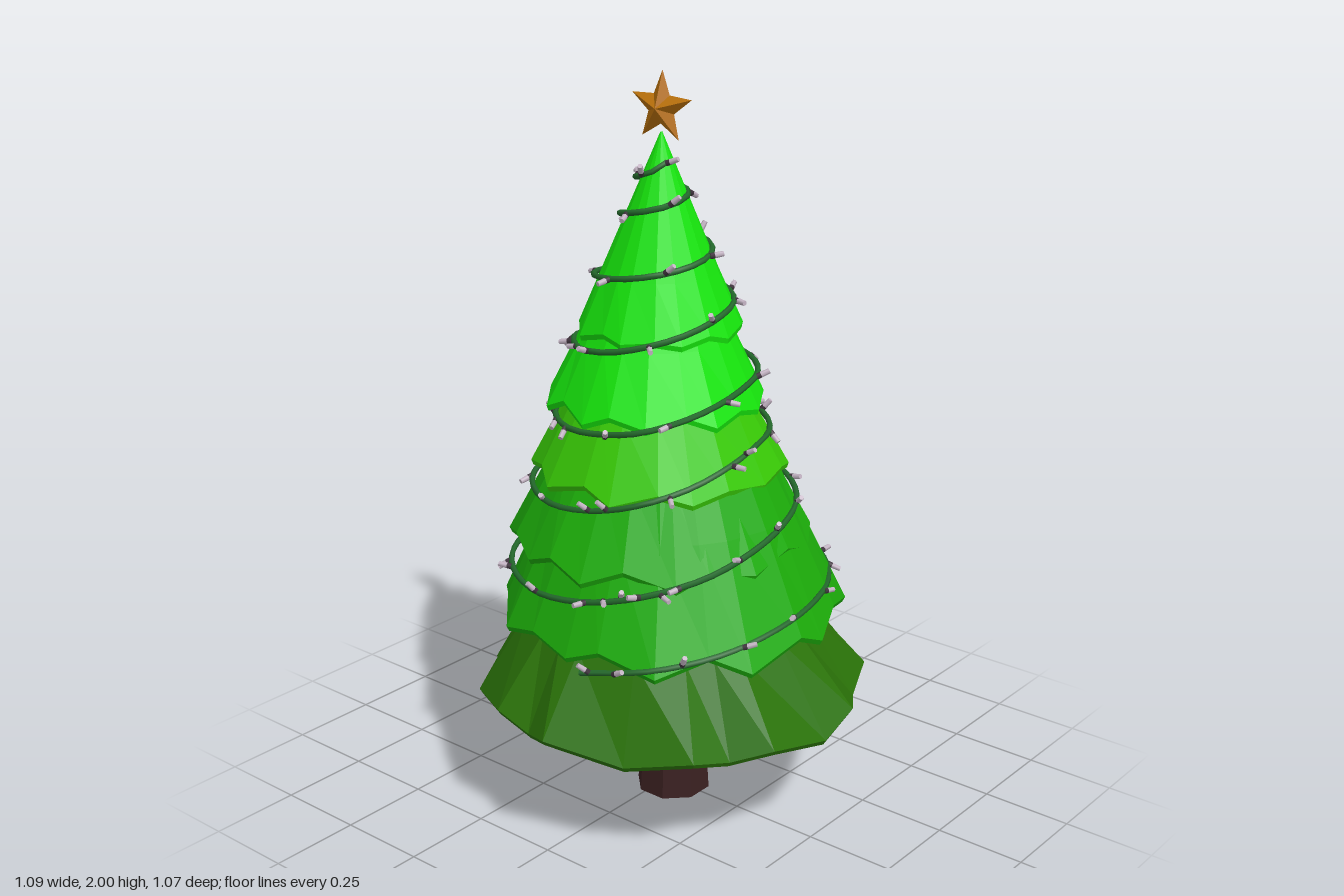
import * as THREE from 'three';
import { mergeGeometries } from 'three/addons/utils/BufferGeometryUtils.js';

function material(name, color) {
  const m = new THREE.MeshStandardMaterial({ color });
  m.name = name;
  return m;
}

function seeded(seed) {
  return () => {
    seed = (seed * 16807) % 2147483647;
    return seed / 2147483647;
  };
}

// Faceted geometry from a list of corner points, three per face
function faceted(points) {
  const g = new THREE.BufferGeometry().setFromPoints(points);
  g.computeVertexNormals();
  return g;
}

// Joins consecutive rings of points into a faceted skin
function skin(rings) {
  const out = [];
  for (let k = 0; k < rings.length - 1; k++) {
    const a = rings[k], b = rings[k + 1], n = a.length;
    for (let i = 0; i < n; i++) {
      const j = (i + 1) % n;
      out.push(a[i], a[j], b[i], a[j], b[j], b[i]);
    }
  }
  return faceted(out);
}

const APEX_X = -0.02;

// Branch tiers, bottom to top: rim height, rim radius, cone tip height, centre x,
// rim corners, rim wave height
const TIERS = [
  { y: 0.33, r: 0.53, top: 1.1, cx: 0, n: 22, wave: 0.018, color: 'skirt' },
  { y: 0.575, r: 0.465, top: 1.58, cx: 0.012, n: 22, wave: 0.019, color: 'lower' },
  { y: 0.775, r: 0.408, top: 1.53, cx: -0.022, n: 22, wave: 0.016, color: 'lower' },
  { y: 0.965, r: 0.338, top: 1.6, cx: -0.032, n: 20, wave: 0.012, color: 'middle' },
  { y: 1.15, r: 0.287, top: 1.74, cx: -0.035, n: 20, wave: 0.01, color: 'upper' },
  { y: 1.345, r: 0.215, top: 1.845, cx: -0.026, n: 18, wave: 0.007, color: 'upper' },
];

// Rim corners (x, z) of the wide lowest tier
const SKIRT = [
  [0.54, 0], [0.52, 0.2], [0.43, 0.27], [0.4, 0.38], [0.23, 0.455], [0.02, 0.53],
  [-0.07, 0.49], [-0.18, 0.49], [-0.36, 0.38], [-0.38, 0.28], [-0.47, 0.2],
  [-0.545, 0.01], [-0.47, -0.21], [-0.38, -0.28], [-0.36, -0.38], [-0.1, -0.52],
  [0.02, -0.54], [0.21, -0.51], [0.3, -0.435], [0.4, -0.385], [0.455, -0.25], [0.535, -0.13],
];

const coneRadius = (t, y) => (t.r * (t.top - y)) / (t.top - t.y);

function tierGeometry(t, index) {
  const rnd = seeded(71 + index * 977);
  const rim = [], shoulder = [];
  const midY = THREE.MathUtils.lerp(t.y, t.top, 0.28);
  for (let i = 0; i < t.n; i++) {
    const y = t.y + (i % 2 ? t.wave : -t.wave) + (rnd() - 0.5) * 0.014;
    let a = ((i + (rnd() - 0.5) * 0.4) / t.n) * Math.PI * 2 + index * 0.4;
    if (index === 0) {
      const [x, z] = SKIRT[i];
      a = Math.atan2(z, x);
      rim.push(new THREE.Vector3(x, y, z));
    } else {
      const r = coneRadius(t, y) * (1 + (rnd() - 0.5) * 0.05);
      rim.push(new THREE.Vector3(t.cx + Math.cos(a) * r, y, Math.sin(a) * r));
    }
    const m = coneRadius(t, midY);
    shoulder.push(new THREE.Vector3(t.cx + Math.cos(a) * m, midY, Math.sin(a) * m));
  }
  const tip = (y) => rim.map((p) => new THREE.Vector3(
    APEX_X + (p.x - APEX_X) * 0.01, y, p.z * 0.01));
  const lip = rim.map((p) => new THREE.Vector3(p.x * 0.985, p.y - 0.014, p.z * 0.985));
  const inside = shoulder.map((p) => new THREE.Vector3(p.x * 0.98, p.y - 0.018, p.z * 0.98));
  return skin([tip(t.top), shoulder, rim, lip, inside, tip(t.top - 0.03)]);
}

// Outermost branch radius at a height
function branchRadius(y) {
  return Math.max(0.01, ...TIERS.filter((t) => y > t.y - 0.02).map((t) => coneRadius(t, y)));
}

// The crown leans slightly sideways with height
const crownX = (y) => THREE.MathUtils.clamp(
  THREE.MathUtils.mapLinear(y, 0.55, 0.95, 0.01, -0.03), -0.03, 0.01);

// Garland heights at the front, left, back and right of each turn
const GARLAND_Y = [
  0.53, 0.645, 0.66, 0.69,
  0.69, 0.85, 0.905, 0.91,
  0.91, 1.055, 1.07, 1.1,
  1.1, 1.21, 1.235, 1.285,
  1.31, 1.395, 1.43, 1.46,
  1.49, 1.53, 1.56, 1.62,
  1.65, 1.68, 1.7, 1.72,
  1.74, 1.78,
];

function garlandPoint(turn) {
  const k = Math.min(Math.floor(turn * 4), GARLAND_Y.length - 2);
  const y = THREE.MathUtils.lerp(GARLAND_Y[k], GARLAND_Y[k + 1], turn * 4 - k);
  const r = Math.max(branchRadius(y), branchRadius(y + 0.02)) + 0.01;
  const a = turn * Math.PI * 2;
  return new THREE.Vector3(crownX(y) + Math.sin(a) * r, y, Math.cos(a) * r);
}

export function createModel() {
  const tree = new THREE.Group();
  tree.name = 'decoratedTree';
  const mats = {
    skirt: material('dark green branches', 0x2a7208),
    lower: material('mid green branches', 0x1cac0a),
    middle: material('yellow green branches', 0x38ca06),
    upper: material('bright green branches', 0x16e60c),
    trunk: material('brown bark', 0x3a2021),
    star: material('gold', 0xbc720a),
    wire: material('green wire', 0x246a2c),
    socket: material('dark socket', 0x40343e),
    bulb: material('pale bulb', 0xc8b8c8),
  };
  const add = (name, geometry, mat) => {
    const mesh = new THREE.Mesh(geometry, mat);
    mesh.name = name;
    tree.add(mesh);
    return mesh;
  };

  // Trunk, eight flat sides
  const trunk = new THREE.CylinderGeometry(0.05, 0.104, 0.9, 8).toNonIndexed();
  trunk.computeVertexNormals();
  const trunkMesh = add('trunk', trunk, mats.trunk);
  trunkMesh.position.set(0.025, 0.45, 0.004);
  trunkMesh.rotation.y = Math.PI / 8;

  // Branch tiers
  TIERS.forEach((t, i) => add(`branchTier${i + 1}`, tierGeometry(t, i), mats[t.color]));

  // Garland wire winding up the tree
  const start = 0.03, end = 7.2, steps = 115;
  const pts = [];
  for (let i = 0; i <= steps; i++) pts.push(garlandPoint(start + ((end - start) * i) / steps));
  add('garlandWire', new THREE.TubeGeometry(
    new THREE.CatmullRomCurve3(pts), 240, 0.008, 6), mats.wire);

  // Little lights: a socket and a bulb, scattered along the wire
  const rnd = seeded(4242);
  const sockets = [], bulbs = [];
  const up = new THREE.Vector3(0, 1, 0);
  for (let turn = start + 0.01; turn < end;) {
    const p = garlandPoint(turn);
    const out = new THREE.Vector3(p.x - crownX(p.y), 0, p.z);
    const reach = Math.max(out.length(), 0.12);
    out.normalize();
    const dir = out.clone().multiplyScalar(0.7);
    dir.addScaledVector(new THREE.Vector3(out.z, 0, -out.x), (rnd() - 0.5) * 2.6);
    dir.y = (rnd() - 0.4) * 1.8;
    dir.normalize();
    const q = new THREE.Quaternion().setFromUnitVectors(up, dir);
    const place = (g, d) => g.applyQuaternion(q).translate(
      p.x + dir.x * d, p.y + dir.y * d, p.z + dir.z * d);
    sockets.push(place(new THREE.CylinderGeometry(0.008, 0.008, 0.012, 6), 0.01));
    bulbs.push(place(new THREE.CylinderGeometry(0.007, 0.008, 0.025, 6), 0.028));
    const gap = rnd() < 0.35 ? 0.04 : 0.15;
    turn += (gap + rnd() * 0.04) / (Math.PI * 2 * reach);
  }
  add('lightSockets', mergeGeometries(sockets), mats.socket);
  add('lightBulbs', mergeGeometries(bulbs), mats.bulb);

  // Five-pointed star with raised centre on both faces
  const corners = [];
  for (let i = 0; i < 10; i++) {
    const a = Math.PI / 2 + (i * Math.PI) / 5;
    const r = i % 2 ? 0.041 : 0.095;
    corners.push(new THREE.Vector3(Math.cos(a) * r, Math.sin(a) * r, 0));
  }
  const front = new THREE.Vector3(0, 0, 0.03), back = new THREE.Vector3(0, 0, -0.03);
  const faces = corners.flatMap((c, i) => {
    const next = corners[(i + 1) % 10];
    return [front, c, next, back, next, c];
  });
  const star = add('star', faceted(faces), mats.star);
  star.position.set(APEX_X, 1.905, 0);
  star.rotation.set(0, 0.1, -0.04);

  return tree;
}
